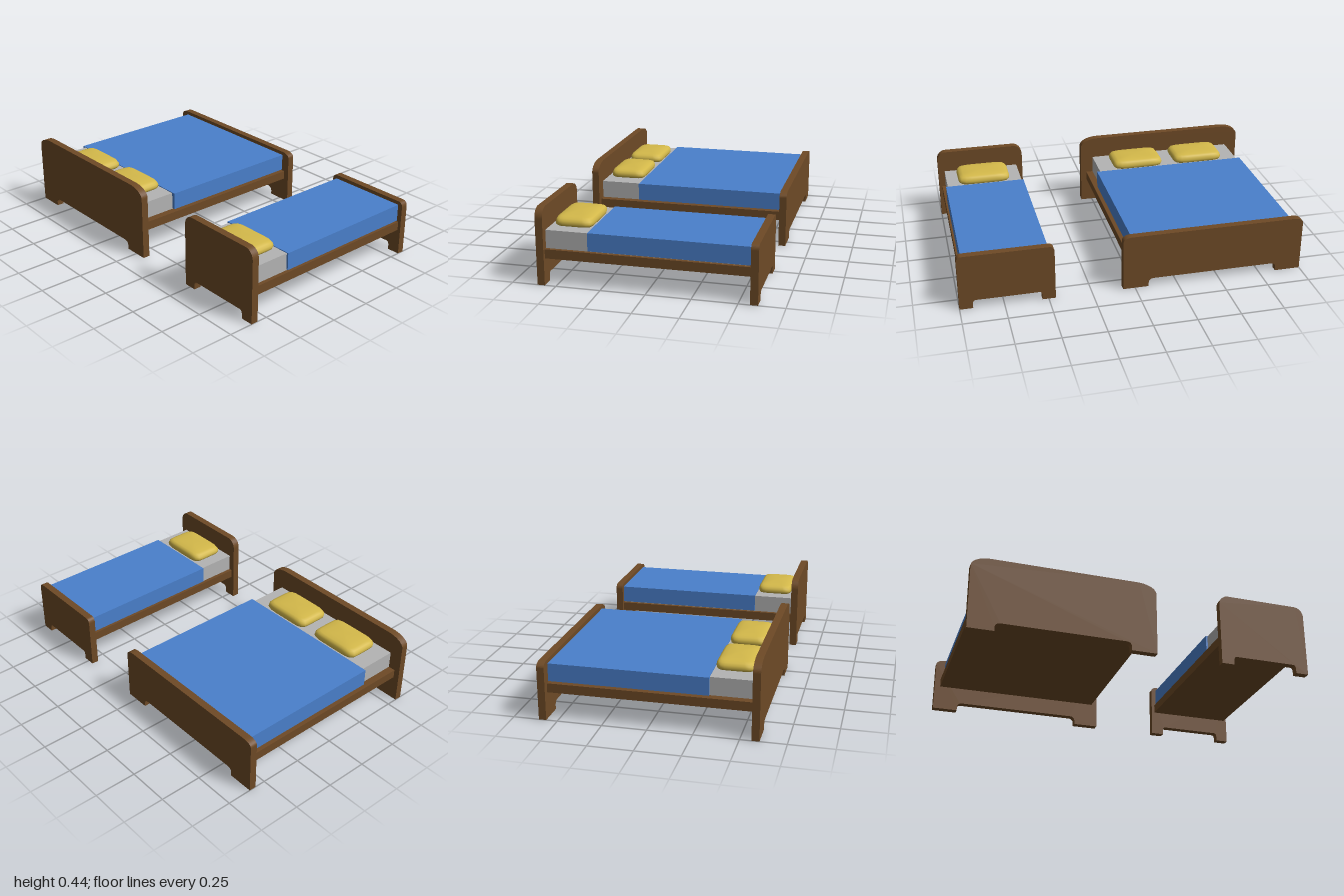
import * as THREE from 'three';
import { mergeVertices } from 'three/addons/utils/BufferGeometryUtils.js';

const material = (color) => new THREE.MeshStandardMaterial({ color });
const wood = material(0x6e4a26);
const sheet = material(0xb4b4b4);
const blue = material(0x4a80cc);
const yellow = material(0xd4b94a);

function add(group, name, geometry, mat, x = 0, y = 0, z = 0) {
  const mesh = new THREE.Mesh(geometry, mat);
  mesh.name = name;
  mesh.position.set(x, y, z);
  group.add(mesh);
}

// End board: rounded top corners and a shallow arch between two feet
function boardGeometry(width, height, rx, ry) {
  const w = width / 2, foot = w * 0.72, c = width * 0.03, arch = 0.05;
  const s = new THREE.Shape();
  s.moveTo(-w, 0);
  s.lineTo(-foot, 0);
  s.lineTo(-foot, 0.02);
  s.quadraticCurveTo(-foot, arch, -foot + c, arch);
  s.lineTo(foot - c, arch);
  s.quadraticCurveTo(foot, arch, foot, 0.02);
  s.lineTo(foot, 0);
  s.lineTo(w, 0);
  s.lineTo(w, height - ry);
  s.absellipse(w - rx, height - ry, rx, ry, 0, Math.PI / 2, false);
  s.absellipse(-w + rx, height - ry, rx, ry, Math.PI / 2, Math.PI, false);
  s.closePath();
  return new THREE.ExtrudeGeometry(s, { depth: 0.042, bevelEnabled: false, curveSegments: 8 });
}

// Pillow: a lathed cushion profile squared off into a rounded rectangle
function pillowGeometry() {
  const profile = [[0, 0], [0.93, 0], [0.98, 0.007], [1, 0.018], [0.98, 0.031], [0.92, 0.043],
    [0.8, 0.05], [0.55, 0.054], [0.25, 0.056], [0, 0.056]];
  const g = new THREE.LatheGeometry(profile.map(([x, y]) => new THREE.Vector2(x, y)), 40);
  const p = g.attributes.position;
  for (let i = 0; i < p.count; i++) {
    const x = p.getX(i), z = p.getZ(i), r = Math.hypot(x, z);
    if (r < 1e-6) continue;
    const k = r / Math.pow(Math.abs(x) ** 7 + Math.abs(z) ** 7, 1 / 7);
    p.setX(i, x * k * 0.16);
    p.setZ(i, z * k * 0.108);
  }
  g.deleteAttribute('uv');
  g.deleteAttribute('normal');
  const merged = mergeVertices(g, 1e-5);
  merged.computeVertexNormals();
  return merged;
}

function createBed(name, x, width, rail, pillows) {
  const bed = new THREE.Group();
  bed.name = name;
  bed.position.x = x;
  const frame = width - 2 * rail;
  const edge = width * 0.01;
  add(bed, 'headboard', boardGeometry(width, 0.435, width * 0.105, 0.058), wood, 0, 0, 0.563);
  add(bed, 'footboard', boardGeometry(width, 0.33, width * 0.05, 0.03), wood, 0, 0, -0.605);
  add(bed, 'bedBase', new THREE.BoxGeometry(frame, 0.052, 1.13), wood, 0, 0.175, 0);
  add(bed, 'mattress', new THREE.BoxGeometry(frame - 8 * edge, 0.104, 1.12), sheet, 0, 0.252, 0.003);
  add(bed, 'blanket', new THREE.BoxGeometry(frame - 4 * edge, 0.102, 0.888), blue, 0, 0.257, -0.12);
  for (const px of pillows) add(bed, 'pillow', pillowGeometry(), yellow, px, 0.304, 0.437);
  return bed;
}

export function createModel() {
  const model = new THREE.Group();
  model.name = 'beds';
  model.add(createBed('doubleBed', -0.465, 1.07, 0.035, [-0.2, 0.2]));
  model.add(createBed('singleBed', 0.73, 0.54, 0.018, [0]));
  return model;
}
